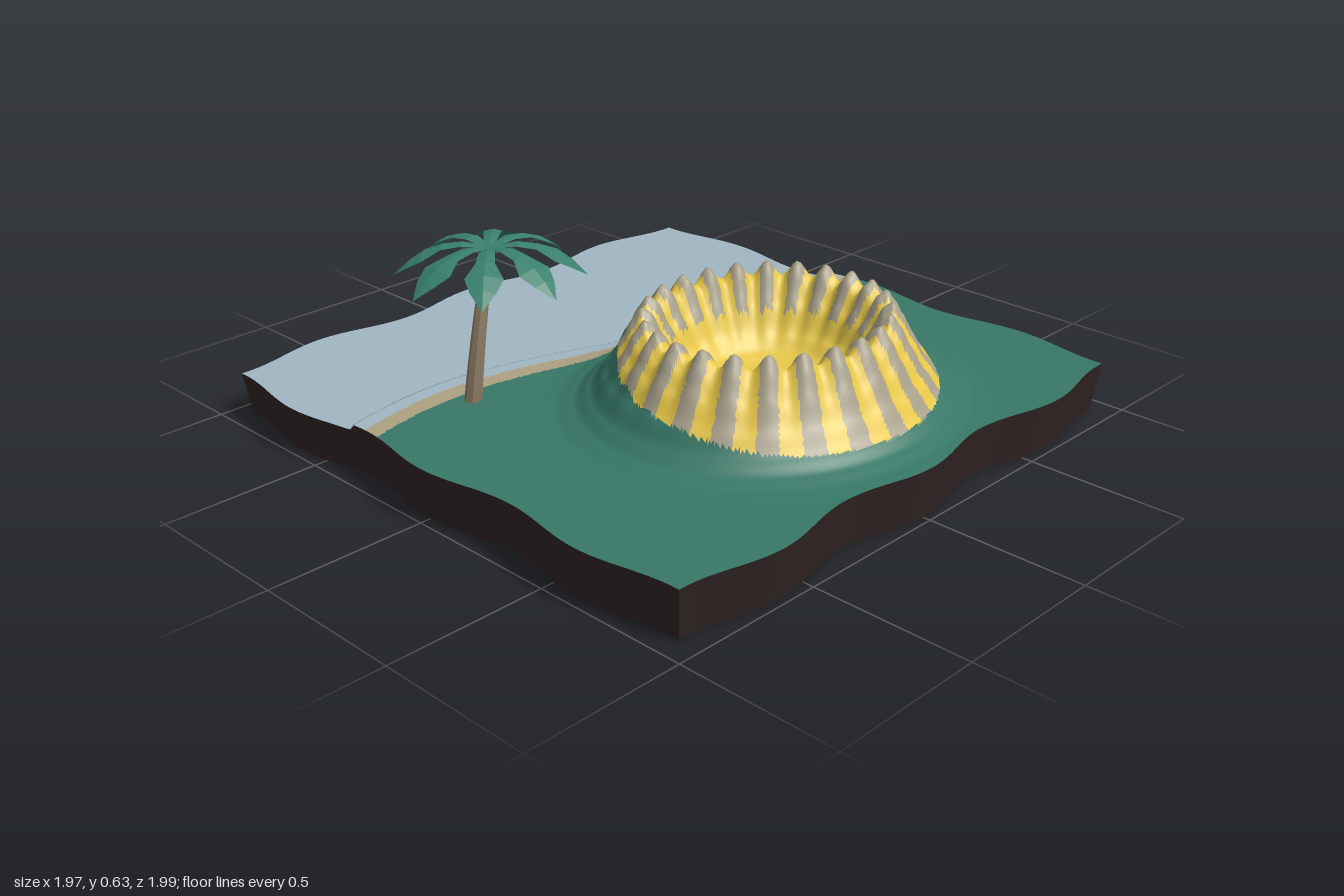
import * as THREE from 'three';

const mat = (name, color, extra = {}) =>
  Object.assign(new THREE.MeshStandardMaterial({ color, ...extra }), { name });

// Wavy square outline: u, v run from -1 to 1
const warp = (u, v) => [
  u * (0.965 + 0.02 * Math.cos(9.6 * v)),
  v * (0.97 + 0.025 * Math.cos(9.6 * u)),
];

// z of the shoreline at x
const shore = x => -0.21 + 0.15 * Math.sin(2.53 * x);

// Crater cross-section: [distance from centre, height above ground]
const PROFILE = [[0, 0.03], [0.16, 0.035], [0.22, 0.055], [0.27, 0.1], [0.32, 0.19], [0.36, 0.26],
  [0.39, 0.275], [0.42, 0.24], [0.45, 0.19], [0.5, 0.115], [0.55, 0.055], [0.6, 0.022], [0.66, 0.005], [0.72, 0]];
const RIBS = 24;
const craterDistance = (x, z) => Math.hypot(x - 0.03, (z - 0.36) / 0.9);
const rib = (x, z) => Math.cos(RIBS * Math.atan2(x - 0.03, (z - 0.36) / 0.9));

function profileHeight(d) {
  for (let i = 1; i < PROFILE.length; i++) {
    const [d0, h0] = PROFILE[i - 1], [d1, h1] = PROFILE[i];
    if (d < d1) return h0 + (h1 - h0) * THREE.MathUtils.smootherstep(d, d0, d1) * 0.3 + (h1 - h0) * 0.7 * (d - d0) / (d1 - d0);
  }
  return 0;
}

function groundHeight(x, z) {
  const d = craterDistance(x, z);
  const ribbed = THREE.MathUtils.smoothstep(d, 0.2, 0.34) * (1 - THREE.MathUtils.smoothstep(d, 0.42, 0.56));
  const crater = profileHeight(d) * (1 + 0.085 * ribbed * rib(x, z));
  const step = THREE.MathUtils.smoothstep(z - shore(x), -0.07, -0.055);
  return 0.14 + 0.02 * step + crater * step;
}

// Index into the terrain materials: water, sand, grass, yellow, grey
function groundKind(x, z) {
  if (Math.hypot((x - 0.03) / 0.5, (z - 0.41) / 0.455) < 1)
    return craterDistance(x, z) > 0.3 && rib(x, z) > 0 ? 4 : 3;
  const s = z - shore(x);
  return s < 0 ? 0 : s < 0.06 ? 1 : 2;
}

function terrainGeometry() {
  const n = 220;
  const geo = new THREE.PlaneGeometry(2, 2, n, n).rotateX(-Math.PI / 2);
  const p = geo.attributes.position;
  for (let i = 0; i < p.count; i++) {
    const [x, z] = warp(p.getX(i), p.getZ(i));
    p.setXYZ(i, x, groundHeight(x, z), z);
  }
  geo.computeVertexNormals();
  // Sort the triangles into one group for each colour
  const buckets = [[], [], [], [], []];
  const index = geo.index.array;
  for (let i = 0; i < index.length; i += 3) {
    const t = [index[i], index[i + 1], index[i + 2]];
    const x = t.reduce((sum, k) => sum + p.getX(k), 0) / 3;
    const z = t.reduce((sum, k) => sum + p.getZ(k), 0) / 3;
    buckets[groundKind(x, z)].push(...t);
  }
  geo.setIndex(buckets.flat());
  let start = 0;
  buckets.forEach((b, k) => { geo.addGroup(start, b.length, k); start += b.length; });
  return geo;
}

function fromTriangles(points) {
  const geo = new THREE.BufferGeometry();
  geo.setAttribute('position', new THREE.Float32BufferAttribute(points.flat(), 3));
  geo.computeVertexNormals();
  return geo;
}

// Earth walls tapering down to a flat underside
function slabGeometry() {
  const corners = [[-1, -1], [1, -1], [1, 1], [-1, 1]], n = 110, ring = [], out = [];
  corners.forEach(([u0, v0], k) => {
    const [u1, v1] = corners[(k + 1) % 4];
    for (let i = 0; i < n; i++) ring.push(warp(u0 + (u1 - u0) * i / n, v0 + (v1 - v0) * i / n));
  });
  ring.forEach(([x, z], i) => {
    const [x2, z2] = ring[(i + 1) % ring.length], k = 0.98;
    const aT = [x, groundHeight(x, z), z], bT = [x2, groundHeight(x2, z2), z2];
    const aB = [x * k, 0, z * k], bB = [x2 * k, 0, z2 * k];
    out.push(aT, bT, bB, aT, bB, aB, aB, bB, [0, 0, 0]);
  });
  return fromTriangles(out);
}

// Folded palm leaf along +x: [distance, height, half width]
function leafGeometry() {
  const rows = [[0, 0, 0.012], [0.08, 0.014, 0.024], [0.14, 0.006, 0.028],
    [0.195, -0.015, 0.056], [0.24, -0.045, 0.037], [0.287, -0.088, 0.001]];
  const out = [];
  for (let i = 1; i < rows.length; i++) {
    const [x0, y0, w0] = rows[i - 1], [x1, y1, w1] = rows[i];
    const m0 = [x0, y0, 0], m1 = [x1, y1, 0];
    const r0 = [x0, y0 - w0 * 0.2, w0], r1 = [x1, y1 - w1 * 0.2, w1];
    const l0 = [x0, y0 - w0 * 0.2, -w0], l1 = [x1, y1 - w1 * 0.2, -w1];
    out.push(m0, r0, r1, m0, r1, m1, m0, m1, l1, m0, l1, l0);
  }
  return fromTriangles(out);
}

// Tapered trunk bent along a curve
function trunkGeometry() {
  const geo = new THREE.CylinderGeometry(0.016, 0.027, 1, 8, 8);
  const path = new THREE.QuadraticBezierCurve3(
    new THREE.Vector3(-0.595, 0.15, -0.25), new THREE.Vector3(-0.575, 0.4, -0.235), new THREE.Vector3(-0.5, 0.615, -0.26));
  const p = geo.attributes.position;
  for (let i = 0; i < p.count; i++) {
    const c = path.getPoint(THREE.MathUtils.clamp(p.getY(i) + 0.5, 0, 1));
    p.setXYZ(i, c.x + p.getX(i), c.y, c.z + p.getZ(i));
  }
  geo.computeVertexNormals();
  return geo;
}

export function createModel() {
  const model = new THREE.Group();
  model.name = 'craterIsland';
  const add = (parent, name, geometry, material) => {
    const mesh = new THREE.Mesh(geometry, material);
    mesh.name = name;
    parent.add(mesh);
    return mesh;
  };

  // Ground, shore, water and striped crater
  add(model, 'terrain', terrainGeometry(), [
    mat('water', 0xa0b6c3), mat('sand', 0xada081), mat('grass', 0x377766),
    mat('yellowStripe', 0xe6c748), mat('greyStripe', 0xa8a08a)]);
  add(model, 'earthSlab', slabGeometry(), mat('earth', 0x2e2222));

  // Palm tree
  const palm = new THREE.Group();
  palm.name = 'palmTree';
  model.add(palm);
  add(palm, 'trunk', trunkGeometry(), mat('bark', 0x8c7b64, { flatShading: true }));
  const leafMat = mat('leaf', 0x38806c, { flatShading: true, side: THREE.DoubleSide });
  const leaf = leafGeometry();
  for (let i = 0; i < 8; i++) {
    const mesh = add(palm, 'leaf', leaf, leafMat);
    mesh.position.set(-0.5, 0.617, -0.26);
    mesh.rotation.y = i * Math.PI / 4;
  }
  return model;
}
